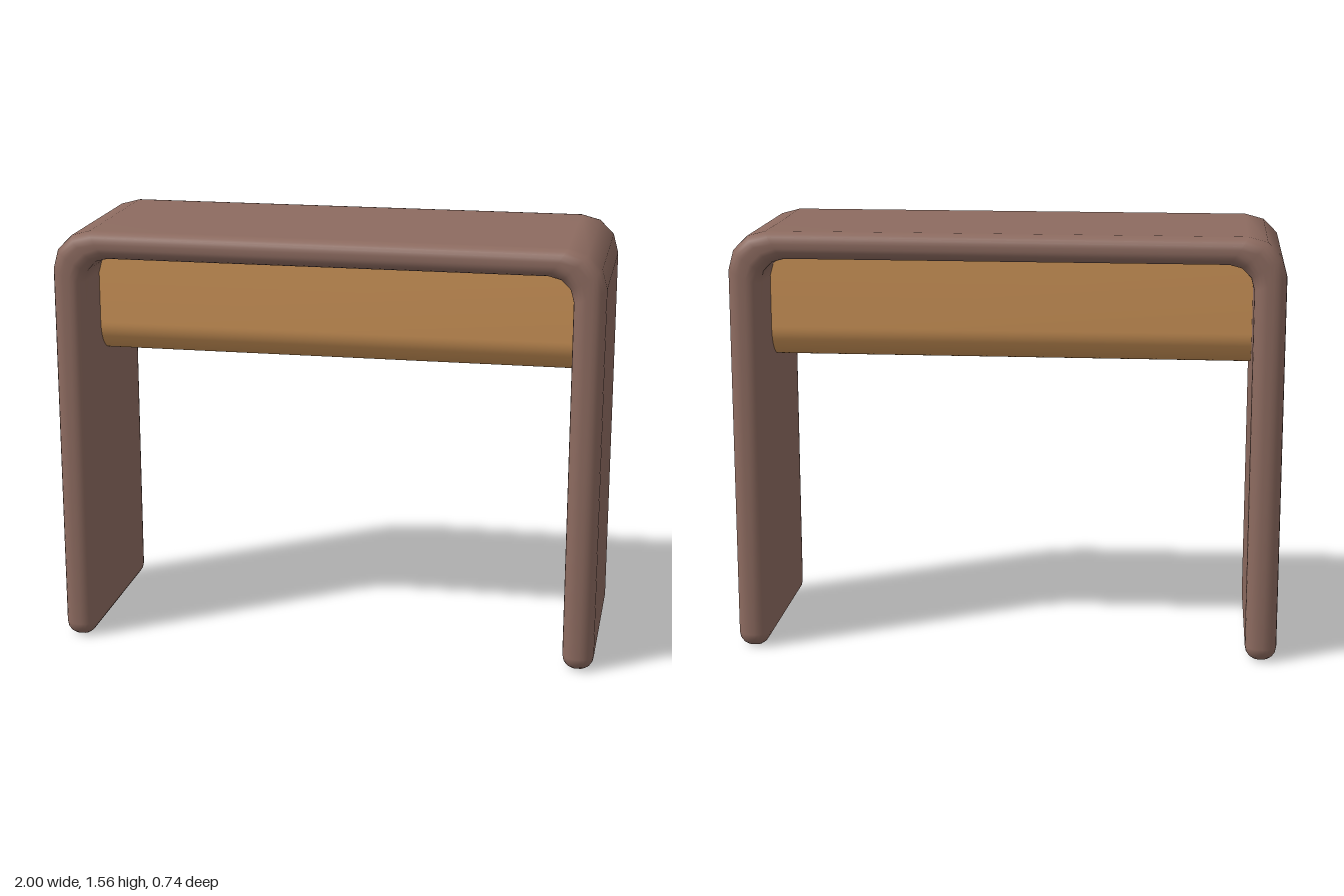
import * as THREE from 'three';
import { toCreasedNormals } from 'three/addons/utils/BufferGeometryUtils.js';

const HEIGHT = 1.56, HALF_DEPTH = 0.37, EDGE = 0.05, LEG = 0.115, TOP = 0.1;

// Stations along one half of the arch: outer and inner points plus the inset of the section
function halfArch() {
  const stations = [];
  const add = (ox, oy, ix, iy, inset = 0) => stations.push({ o: [ox, oy], i: [ix, iy], inset });
  // rounded foot
  for (let k = 0; k <= 4; k++) {
    const a = (k / 4) * Math.PI / 2;
    const y = EDGE * (1 - Math.cos(a));
    add(-1, y, -1 + LEG, y, EDGE * (1 - Math.sin(a)));
  }
  // rounded shoulder
  const R = 0.14, r = 0.09;
  for (let k = 0; k <= 3; k++) {
    const a = (k / 3) * Math.PI / 2, c = Math.cos(a), s = Math.sin(a);
    add(-1 + R - R * c, HEIGHT - R + R * s,
      -1 + LEG + r - r * c, HEIGHT - TOP - r + r * s);
  }
  return stations;
}

// Sweep a rounded rectangle through the stations
function archGeometry() {
  const half = halfArch();
  const mirrored = half.map(({ o, i, inset }) => ({ o: [-o[0], o[1]], i: [-i[0], i[1]], inset })).reverse();
  const stations = [...half, ...mirrored];
  const steps = 5, ring = 4 * (steps + 1);
  const pos = [], index = [];
  for (const { o, i, inset } of stations) {
    const cx = (o[0] + i[0]) / 2, cy = (o[1] + i[1]) / 2;
    const dx = (o[0] - i[0]) / 2, dy = (o[1] - i[1]) / 2;
    const thick = Math.hypot(dx, dy), rad = EDGE - inset;
    for (let q = 0; q < 4; q++) {
      const su = q === 0 || q === 3 ? 1 : -1, sv = q < 2 ? 1 : -1;
      for (let k = 0; k <= steps; k++) {
        const a = (q + k / steps) * Math.PI / 2;
        const u = su * (thick - EDGE) + rad * Math.cos(a);
        const v = sv * (HALF_DEPTH - EDGE) + rad * Math.sin(a);
        pos.push(cx + dx / thick * u, cy + dy / thick * u, v);
      }
    }
  }
  for (let s = 0; s < stations.length - 1; s++) {
    for (let j = 0; j < ring; j++) {
      const a = s * ring + j, b = s * ring + (j + 1) % ring;
      index.push(a, b, b + ring, a, b + ring, a + ring);
    }
  }
  // flat soles
  const last = (stations.length - 1) * ring;
  for (let j = 1; j < ring - 1; j++) {
    index.push(0, j + 1, j, last, last + j, last + j + 1);
  }
  const geo = new THREE.BufferGeometry();
  geo.setAttribute('position', new THREE.Float32BufferAttribute(pos, 3));
  geo.setIndex(index);
  geo.computeVertexNormals();
  return geo;
}

// Box with rounded lower edges, running between the legs
function trayGeometry() {
  const w = 0.15, top = 1.445, bottom = 1.06, r = 0.12, length = 1.8;
  const s = new THREE.Shape();
  s.moveTo(w, top);
  s.lineTo(-w, top);
  s.lineTo(-w, bottom + r);
  s.absarc(-w + r, bottom + r, r, Math.PI, Math.PI * 1.5, false);
  s.absarc(w - r, bottom + r, r, Math.PI * 1.5, Math.PI * 2, false);
  s.closePath();
  const geo = new THREE.ExtrudeGeometry(s, { depth: length, bevelEnabled: false, curveSegments: 8 });
  geo.translate(0, 0, -length / 2);
  geo.rotateY(Math.PI / 2);
  return toCreasedNormals(geo, 0.6);
}

export function createModel() {
  const brown = new THREE.MeshStandardMaterial({ color: 0x8d6b60 });
  brown.name = 'brown';
  const tan = new THREE.MeshStandardMaterial({ color: 0xcd9458 });
  tan.name = 'tan';

  const model = new THREE.Group();
  model.name = 'consoleTable';
  const frame = new THREE.Mesh(archGeometry(), brown);
  frame.name = 'archFrame';
  const tray = new THREE.Mesh(trayGeometry(), tan);
  tray.name = 'drawerBox';
  model.add(frame, tray);
  return model;
}
